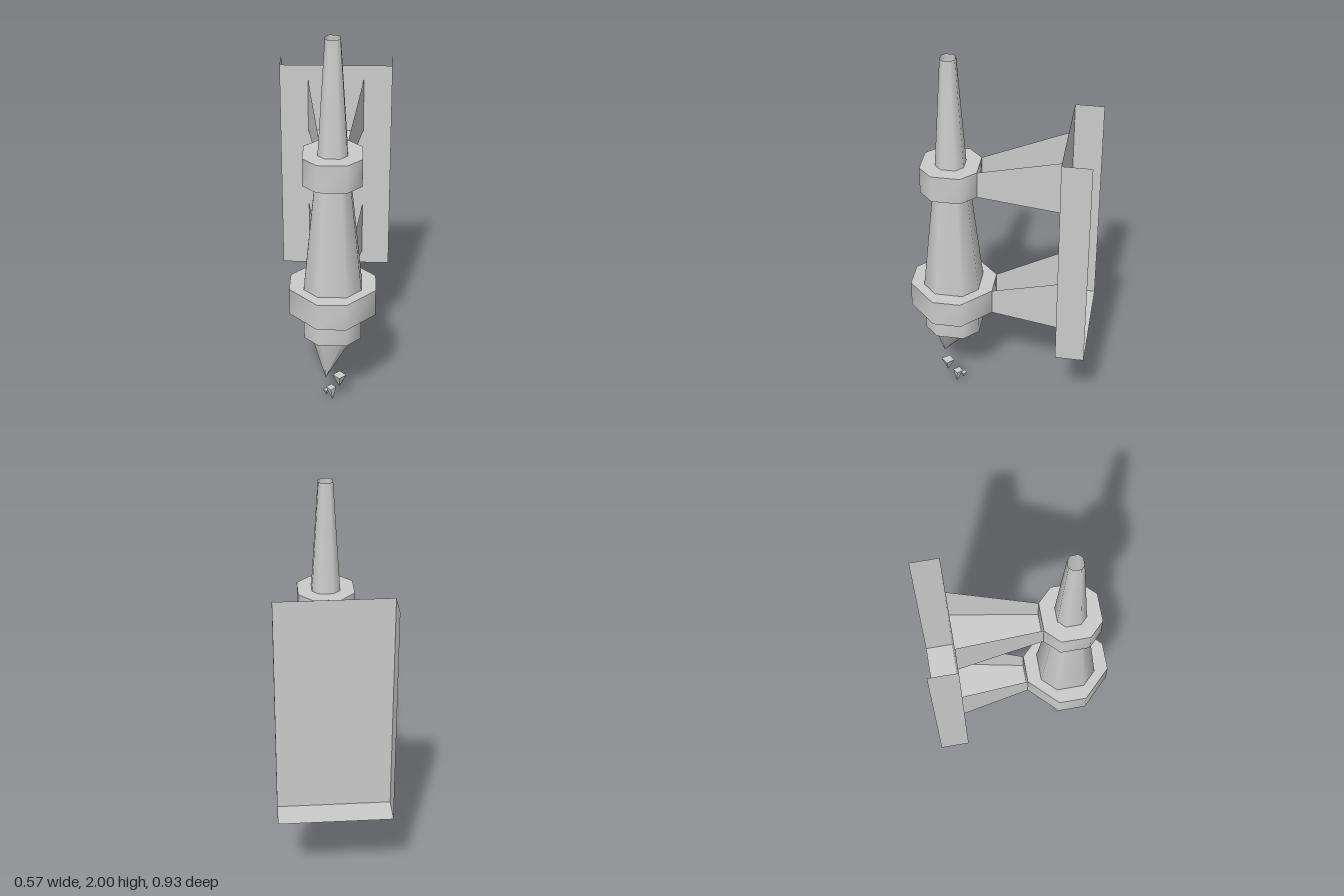
import * as THREE from 'three';
import { toCreasedNormals } from 'three/addons/utils/BufferGeometryUtils.js';

const grey = new THREE.MeshStandardMaterial({ color: 0xcccccc, side: THREE.DoubleSide });
const AXIS_Z = 0.25;

function meshFrom(name, triangles, crease = 0.9) {
  const geo = new THREE.BufferGeometry();
  geo.setAttribute('position', new THREE.Float32BufferAttribute(triangles.flat(), 3));
  const mesh = new THREE.Mesh(toCreasedNormals(geo, crease), grey);
  mesh.name = name;
  return mesh;
}

const quad = (a, b, c, d) => [a, b, c, a, c, d];

// Octagon with half width r and half side s, counter-clockwise from above
const octagon = (r, s) =>
  [[-s, r], [s, r], [r, s], [r, -s], [s, -r], [-s, -r], [-r, -s], [-r, s]];
// Square standing on its corner
const diamond = (r) => [[0, r], [r, 0], [0, -r], [-r, 0]];

// Joins horizontal sections { y, pts, x, z } from bottom to top
function loft(name, sections, { bottom = false, top = false } = {}) {
  const rings = sections.map(({ y, pts, x = 0, z = AXIS_Z }) =>
    pts.map(([px, pz]) => [px + x, y, pz + z]));
  const n = rings[0].length;
  const tris = [];
  for (let k = 0; k < rings.length - 1; k++) {
    const lo = rings[k], hi = rings[k + 1];
    for (let i = 0; i < n; i++) {
      const j = (i + 1) % n;
      if (lo[i].join() === lo[j].join()) tris.push(lo[i], hi[j], hi[i]);
      else tris.push(...quad(lo[i], lo[j], hi[j], hi[i]));
    }
  }
  const first = rings[0], last = rings[rings.length - 1];
  for (let i = 1; i < n - 1; i++) {
    if (bottom) tris.push(first[0], first[i + 1], first[i]);
    if (top) tris.push(last[0], last[i], last[i + 1]);
  }
  return meshFrom(name, tris);
}

// Inverted pointed piece: flat top, apex below
function spike(name, topPts, topY, topX, topZ, apex) {
  const point = topPts.map(() => [0, 0]);
  return loft(name, [
    { y: apex[1], pts: point, x: apex[0], z: apex[2] },
    { y: topY, pts: topPts, x: topX, z: topZ },
  ], { top: true });
}

// Open-topped channel from a ring to the mounting plate
function bracket(name, y0, frontZ) {
  const y1 = y0 + 0.142, y2 = y0 + 0.285, backZ = -0.32, fw = 0.071, bw = 0.142;
  const tris = quad([-fw, y0, frontZ], [-bw, y0, backZ], [bw, y0, backZ], [fw, y0, frontZ]);
  tris.push(...quad([fw, y0, frontZ], [bw, y0, backZ], [bw, y2, backZ], [fw, y1, frontZ]));
  tris.push(...quad([-fw, y0, frontZ], [-fw, y1, frontZ], [-bw, y2, backZ], [-bw, y0, backZ]));
  return meshFrom(name, tris);
}

// Tray with front sheet, two side flanges and a bottom; open at top and back
function mountingPlate() {
  const w = 0.285, y0 = 0.5, y1 = 1.645, zf = -0.32, zb = -0.465;
  const tris = quad([-w, y0, zf], [w, y0, zf], [w, y1, zf], [-w, y1, zf]);
  tris.push(...quad([w, y0, zf], [w, y0, zb], [w, y1, zb], [w, y1, zf]));
  tris.push(...quad([-w, y0, zb], [-w, y0, zf], [-w, y1, zf], [-w, y1, zb]));
  tris.push(...quad([-w, y0, zb], [w, y0, zb], [w, y0, zf], [-w, y0, zf]));
  return meshFrom('mountingPlate', tris);
}

export function createModel() {
  const group = new THREE.Group();
  group.name = 'wallSpout';

  // Tapering pipe, open at the top
  group.add(loft('pipe', [
    { y: 0.435, pts: octagon(0.142, 0.071) },
    { y: 0.715, pts: octagon(0.142, 0.071) },
    { y: 1.43, pts: octagon(0.071, 0.036) },
    { y: 2, pts: octagon(0.036, 0.018) },
  ], { bottom: true }));

  // Clamp rings and their brackets
  for (const [label, y, r] of [['lower', 0.575, 0.213], ['upper', 1.288, 0.142]]) {
    const pts = octagon(r, 0.071);
    group.add(loft(label + 'Ring', [{ y, pts }, { y: y + 0.142, pts }], { bottom: true, top: true }));
    group.add(bracket(label + 'Bracket', y, AXIS_Z - r));
  }
  group.add(mountingPlate());

  // Crooked tip and falling drops
  group.add(spike('tip', octagon(0.107, 0.053), 0.435, 0, AXIS_Z, [-0.035, 0.19, 0.32]));
  group.add(spike('largeDrop', diamond(0.035), 0.185, 0.035, 0.288, [0.035, 0.115, 0.288]));
  group.add(spike('mediumDrop', diamond(0.027), 0.074, -0.01, 0.243, [-0.002, 0, 0.25]));
  group.add(spike('smallDrop', diamond(0.018), 0.04, -0.035, 0.217, [-0.035, 0.005, 0.217]));
  return group;
}
